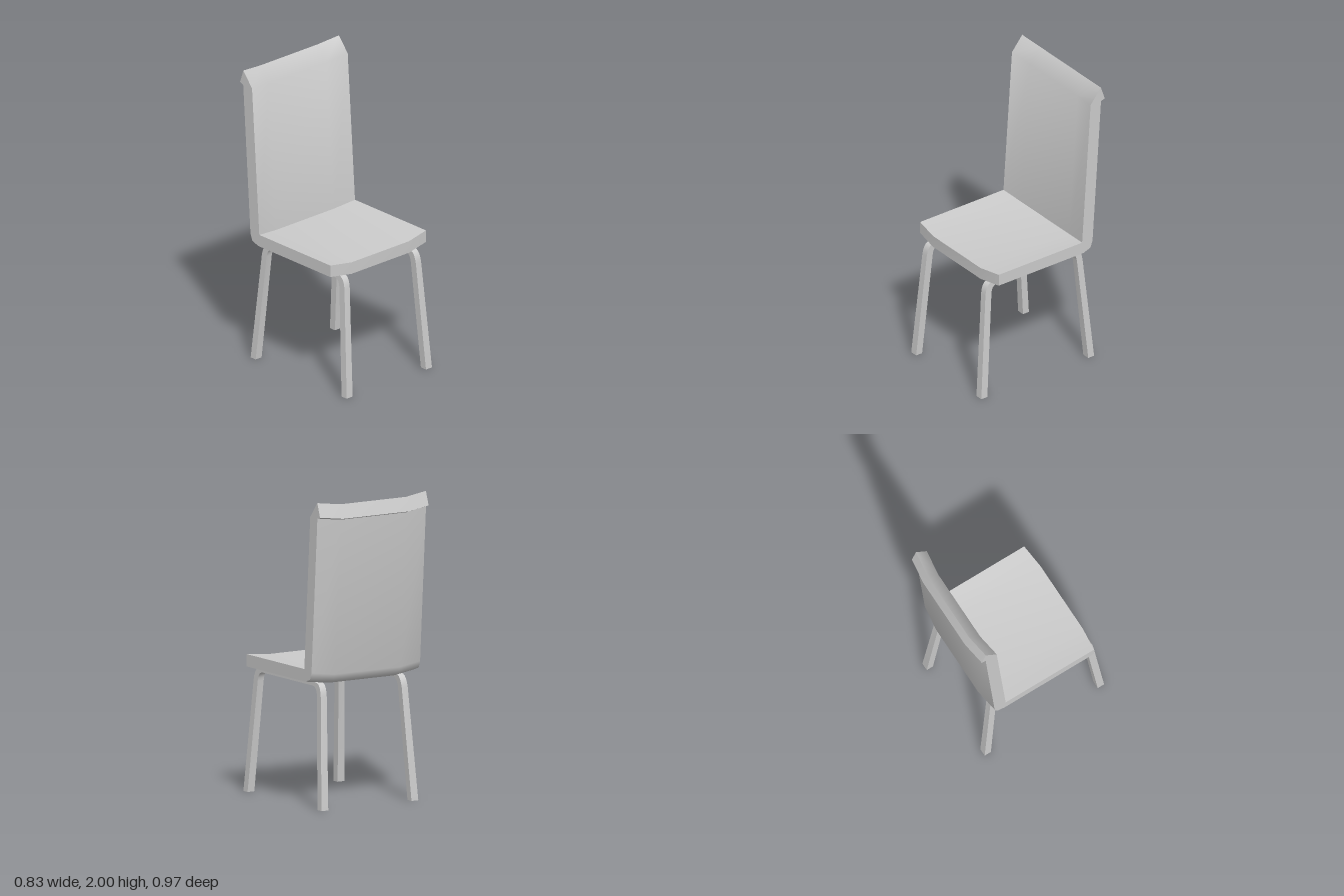
import * as THREE from 'three';
import { toCreasedNormals } from 'three/addons/utils/BufferGeometryUtils.js';

const material = new THREE.MeshStandardMaterial({ color: 0xcccccc });

// Extrudes a side outline (z, y) across the width, then places each vertex by a rule.
// The rule receives the extrusion position t, from 0 to steps (t grows towards -x).
function sideExtrude(name, shape, steps, rule, crease) {
  const geo = new THREE.ExtrudeGeometry(shape, { depth: steps, steps, bevelEnabled: false, curveSegments: 5 });
  geo.rotateY(-Math.PI / 2);
  const pos = geo.attributes.position;
  for (let i = 0; i < pos.count; i++) {
    const [x, y, z] = rule(Math.round(-pos.getX(i)), pos.getY(i), pos.getZ(i));
    pos.setXYZ(i, x, y, z);
  }
  const mesh = new THREE.Mesh(toCreasedNormals(geo, crease), material);
  mesh.name = name;
  return mesh;
}

// One-piece seat and backrest, with the side edges curled up and inwards
function makeShell() {
  const outline = [
    [0.40, 0.805], [0.40, 0.885], [-0.307, 0.885], [-0.375, 1.88], [-0.457, 1.98],
    [-0.488, 1.89], [-0.458, 1.88], [-0.39, 0.87], [-0.373, 0.825], [-0.318, 0.805],
  ];
  const shape = new THREE.Shape(outline.map(([z, y]) => new THREE.Vector2(z, y)));
  const stations = [0.415, 0.25, -0.25, -0.415];
  return sideExtrude('seatAndBackrest', shape, 3, (t, y, z) => {
    const curl = t === 0 || t === 3 ? 0.02 : 0;
    return [stations[t], y + curl, z - Math.sign(z) * curl];
  }, THREE.MathUtils.degToRad(50));
}

// Bent frame: front leg, rail under the seat and back leg, splayed outwards
function makeLegFrame(name, side) {
  const s = new THREE.Shape();
  s.moveTo(0.485, 0);
  s.lineTo(0.424, 0.725);
  s.quadraticCurveTo(0.415, 0.81, 0.36, 0.81);
  s.lineTo(-0.285, 0.81);
  s.quadraticCurveTo(-0.34, 0.81, -0.352, 0.725);
  s.lineTo(-0.417, 0);
  s.lineTo(-0.37, 0);
  s.lineTo(-0.308, 0.725);
  s.quadraticCurveTo(-0.3, 0.785, -0.25, 0.785);
  s.lineTo(0.325, 0.785);
  s.quadraticCurveTo(0.37, 0.785, 0.376, 0.725);
  s.lineTo(0.437, 0);
  s.closePath();
  return sideExtrude(name, s, 1, (t, y, z) => {
    const h = y / 0.81;
    const inner = THREE.MathUtils.lerp(0.318, 0.283, h);
    const outer = THREE.MathUtils.lerp(0.37, 0.328, h);
    const useOuter = side > 0 ? t === 0 : t === 1;
    return [side * (useOuter ? outer : inner), y, z];
  }, THREE.MathUtils.degToRad(40));
}

export function createModel() {
  const chair = new THREE.Group();
  chair.name = 'chair';
  chair.add(makeShell(), makeLegFrame('leftLegFrame', 1), makeLegFrame('rightLegFrame', -1));
  return chair;
}
